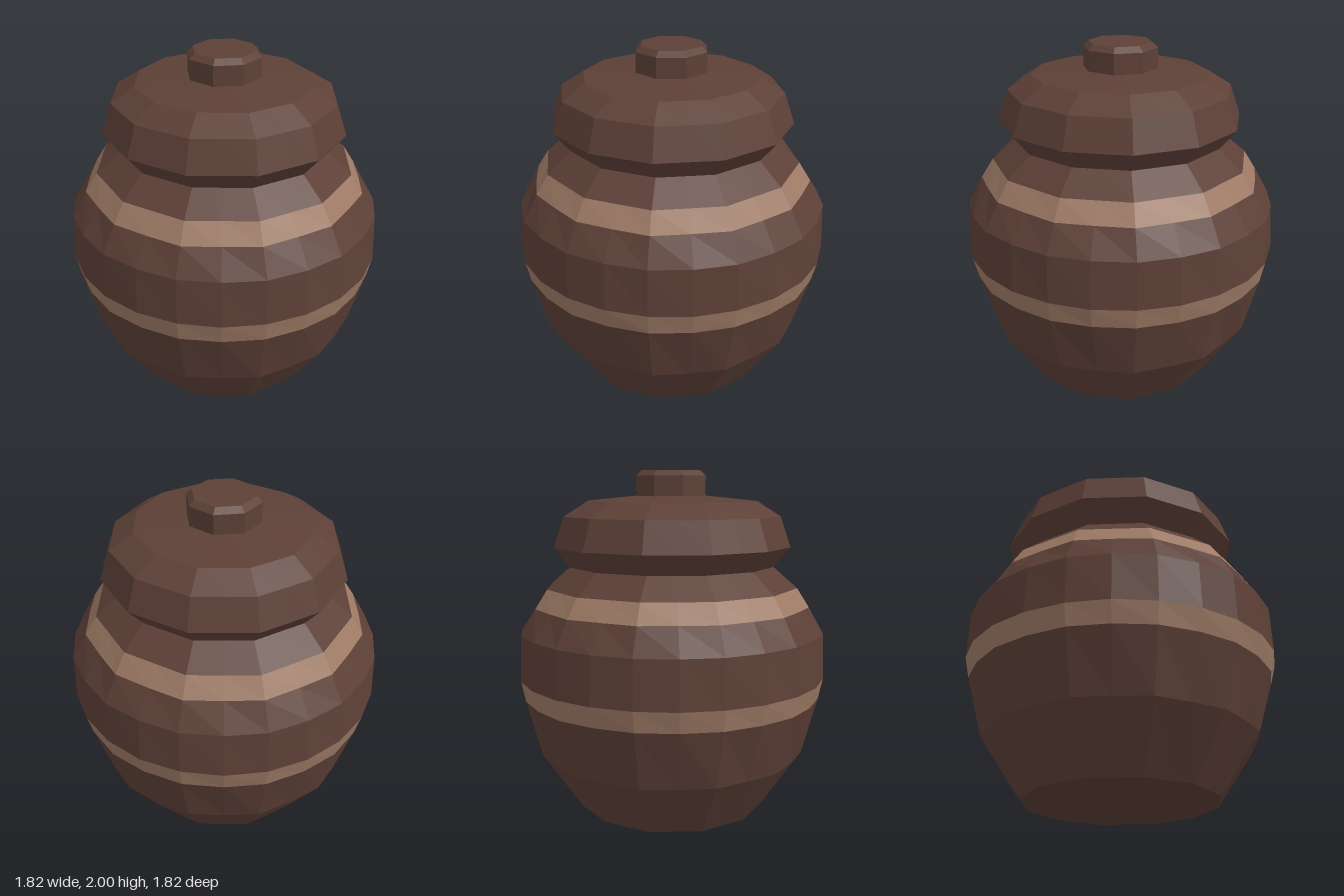
import * as THREE from 'three';

const brown = new THREE.MeshStandardMaterial({ color: 0x5d4037 });
brown.name = 'dark brown clay';
const tan = new THREE.MeshStandardMaterial({ color: 0x9f7b66 });
tan.name = 'tan glaze';

// Pull a round ring in to a regular polygon with a corner at angle 0.
function polygonFactor(angle, sides) {
  const step = (2 * Math.PI) / sides;
  const a = ((angle % step) + step) % step;
  return Math.cos(step / 2) / Math.cos(a - step / 2);
}

// Faceted turned part. Profile points run upwards: [radius, y, round],
// where round = 1 keeps the ring round and 0 gives it twelve sides.
function turned(name, profile, material, segments = 24) {
  const geometry = new THREE.LatheGeometry(
    profile.map(([r, y]) => new THREE.Vector2(r, y)), segments);
  const p = geometry.attributes.position;
  if (segments === 24) {
    for (let i = 0; i < p.count; i++) {
      const round = profile[i % profile.length][2] ?? 0;
      const f = polygonFactor(Math.atan2(p.getX(i), p.getZ(i)) + 1e-6, 12);
      const k = f + (1 - f) * round;
      p.setX(i, p.getX(i) * k);
      p.setZ(i, p.getZ(i) * k);
    }
  }
  const flat = geometry.toNonIndexed();
  flat.computeVertexNormals();
  const mesh = new THREE.Mesh(flat, material);
  mesh.name = name;
  return mesh;
}

export function createModel() {
  const jar = new THREE.Group();
  jar.name = 'lidded jar';

  // Rings shared between neighbouring body parts
  const lowBandBottom = [0.885, 0.68, 0.8];
  const lowBandTop = [0.91, 0.8, 1];
  const highBandBottom = [0.815, 1.22, 0.2];
  const highBandTop = [0.745, 1.33, 0];

  // Body and its two painted bands
  jar.add(
    turned('lowerBody', [[0, 0], [0.565, 0], [0.795, 0.34, 0.3], lowBandBottom], brown),
    turned('lowerBand', [lowBandBottom, lowBandTop], tan),
    turned('upperBody', [lowBandTop, [0.9, 1.07, 0.8], highBandBottom], brown),
    turned('upperBand', [highBandBottom, highBandTop], tan),
    turned('neck', [highBandTop, [0.605, 1.45], [0.7, 1.565]], brown),
  );

  // Lid with a sloping rim and shallow dome
  jar.add(turned('lid',
    [[0.7, 1.565], [0.64, 1.74], [0.505, 1.825], [0.21, 1.855], [0, 1.857]], brown));

  // Eight-sided knob with a bevelled top
  jar.add(turned('knob',
    [[0.213, 1.84], [0.213, 1.97], [0.18, 2], [0, 2]], brown, 8));

  return jar;
}
